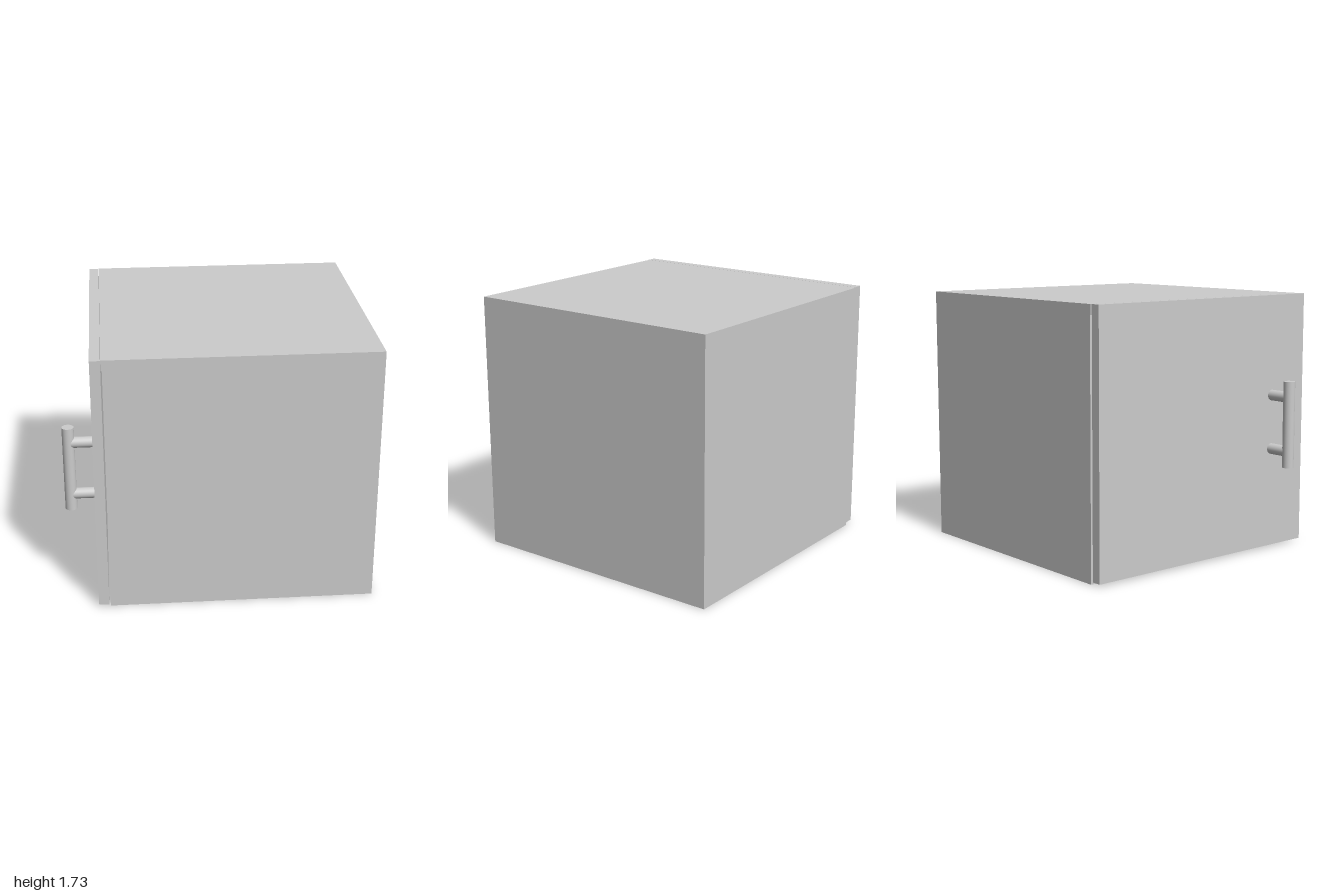
import * as THREE from 'three';

const material = new THREE.MeshStandardMaterial({ color: 0xcccccc });

// Box panel given by its lower and upper corners
function panel(name, [x0, y0, z0], [x1, y1, z1]) {
  const mesh = new THREE.Mesh(new THREE.BoxGeometry(x1 - x0, y1 - y0, z1 - z0), material);
  mesh.name = name;
  mesh.position.set((x0 + x1) / 2, (y0 + y1) / 2, (z0 + z1) / 2);
  return mesh;
}

function rod(name, radius, length, x, y, z) {
  const mesh = new THREE.Mesh(new THREE.CylinderGeometry(radius, radius, length, 32), material);
  mesh.name = name;
  mesh.position.set(x, y, z);
  return mesh;
}

export function createModel() {
  const cabinet = new THREE.Group();
  cabinet.name = 'cabinet';

  // Hollow carcass, open towards the door; the top reaches slightly further out
  const carcass = new THREE.Group();
  carcass.name = 'carcass';
  const t = 0.065, open = -0.728, back = 1, top = 1.725, zMin = -0.9, zMax = 0.893;
  carcass.add(
    panel('topPanel', [-0.735, top - t, zMin], [back, top, zMax]),
    panel('bottomPanel', [open, 0, zMin], [back, t, zMax]),
    panel('frontSidePanel', [open, t, zMax - t], [back, top - t, zMax]),
    panel('rearSidePanel', [open, t, zMin], [back, top - t, zMin + t]),
    panel('backPanel', [back - t, t, zMin + t], [back, top - t, zMax - t])
  );

  // Door with a thin gap to the carcass
  const door = new THREE.Group();
  door.name = 'door';
  door.add(panel('doorPanel', [-0.803, 0.015, -0.893], [-0.737, top, 0.9]));

  // Bar handle on two posts
  const handle = new THREE.Group();
  handle.name = 'handle';
  handle.add(rod('handleBar', 0.039, 0.58, -0.961, 0.87, 0.6));
  for (const y of [0.687, 1.053]) {
    const post = rod('handlePost', 0.036, 0.16, -0.881, y, 0.6);
    post.rotation.z = Math.PI / 2;
    handle.add(post);
  }
  door.add(handle);

  cabinet.add(carcass, door);
  return cabinet;
}
